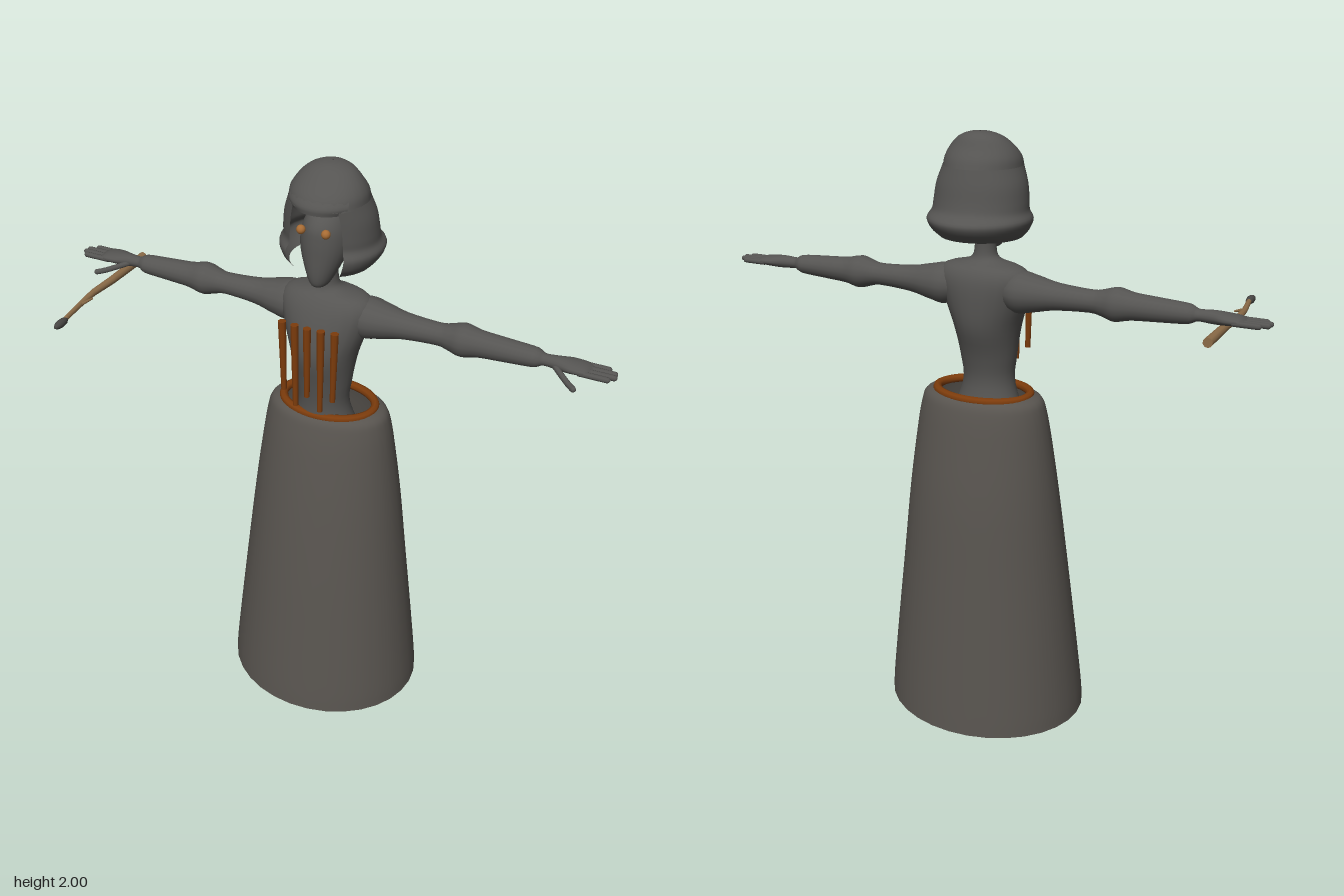
import * as THREE from 'three';

const mat = (name, color, side = THREE.FrontSide) =>
  Object.assign(new THREE.MeshStandardMaterial({ color, side }), { name });

// Smooth skin over elliptical rings [y, cx, cz, rx, rz]; an angle of 0 faces +z
function loft(rings, { n = 24, sub = 4, from = 0, to = Math.PI * 2 } = {}) {
  const full = to - from > 6.28;
  const cols = full ? n : n + 1;
  const mid = new THREE.CatmullRomCurve3(rings.map(r => new THREE.Vector3(r[1], r[0], r[2])), false, 'catmullrom', 0.5);
  const rad = new THREE.CatmullRomCurve3(rings.map(r => new THREE.Vector3(r[3], r[4], 0)), false, 'catmullrom', 0.5);
  const rows = (rings.length - 1) * sub;
  const pos = [], idx = [];
  for (let i = 0; i <= rows; i++) {
    const c = mid.getPoint(i / rows), r = rad.getPoint(i / rows);
    for (let j = 0; j < cols; j++) {
      const a = from + (to - from) * j / n;
      pos.push(c.x + Math.sin(a) * Math.max(r.x, 0), c.y, c.z + Math.cos(a) * Math.max(r.y, 0));
    }
  }
  for (let i = 0; i < rows; i++) for (let j = 0; j < n; j++) {
    const a = i * cols + j, b = i * cols + (j + 1) % cols, c = a + cols, d = b + cols;
    idx.push(a, b, c, b, d, c);
  }
  const g = new THREE.BufferGeometry();
  g.setAttribute('position', new THREE.Float32BufferAttribute(pos, 3));
  g.setIndex(idx);
  g.computeVertexNormals();
  return g;
}

export function createModel() {
  const model = new THREE.Group();
  model.name = 'figure';
  const body = mat('bodyGrey', 0x555452);
  const cloth = mat('clothGrey', 0x58544f, THREE.DoubleSide);
  const hair = mat('hairGrey', 0x555452, THREE.DoubleSide);
  const rust = mat('rustBrown', 0x7d3c0c);
  const wood = mat('wood', 0x8c6c48);
  const amber = mat('amber', 0xa86c34);
  const dark = mat('tipGrey', 0x484644);

  const add = (name, geo, material, parent = model) => {
    const m = new THREE.Mesh(geo, material);
    m.name = name;
    parent.add(m);
    return m;
  };
  // Tapered rod between two points
  const rod = (name, a, b, r0, r1, material, parent = model, sides = 10) => {
    const p = new THREE.Vector3(...a), q = new THREE.Vector3(...b);
    const m = add(name, new THREE.CylinderGeometry(r1, r0, p.distanceTo(q), sides), material, parent);
    m.position.copy(p).lerp(q, 0.5);
    m.quaternion.setFromUnitVectors(new THREE.Vector3(0, 1, 0), q.sub(p).normalize());
    return m;
  };

  // Long open skirt
  add('skirt', loft([
    [0.06, 0, -0.053, 0.34, 0.291], [0.14, 0, -0.054, 0.334, 0.283], [0.35, 0, -0.058, 0.311, 0.259],
    [0.6, 0, -0.063, 0.282, 0.23], [0.85, 0, -0.07, 0.253, 0.198], [1.05, 0, -0.073, 0.226, 0.163],
    [1.14, 0, -0.075, 0.21, 0.143], [1.175, 0, -0.075, 0.196, 0.13], [1.19, 0, -0.075, 0.168, 0.112],
  ], { n: 32 }), cloth);

  // Belt ring
  const ring = [];
  for (let i = 0; i < 24; i++) {
    const a = i / 24 * Math.PI * 2;
    ring.push(new THREE.Vector3(Math.sin(a) * 0.156, 1.187, -0.075 + Math.cos(a) * 0.108));
  }
  add('belt', new THREE.TubeGeometry(new THREE.CatmullRomCurve3(ring, true), 48, 0.014, 8, true), rust);

  // Torso and neck
  add('torso', loft([
    [0.9, 0, -0.055, 0.02, 0.02], [0.95, 0, -0.055, 0.13, 0.1], [1.05, 0, -0.05, 0.14, 0.105],
    [1.2, 0, -0.035, 0.087, 0.075], [1.3, 0, -0.035, 0.092, 0.085], [1.4, 0, -0.042, 0.108, 0.11],
    [1.48, 0, -0.052, 0.135, 0.107], [1.55, 0, -0.062, 0.155, 0.092], [1.59, 0, -0.065, 0.13, 0.07],
    [1.612, 0, -0.06, 0.05, 0.042], [1.65, 0, -0.058, 0.033, 0.035], [1.72, 0, -0.055, 0.035, 0.04],
  ]), body);

  // Head and eyes
  add('head', loft([
    [1.635, 0, -0.005, 0.004, 0.006], [1.645, 0, -0.008, 0.026, 0.036], [1.68, 0, -0.02, 0.046, 0.057],
    [1.74, 0, -0.04, 0.07, 0.077], [1.79, 0, -0.05, 0.075, 0.085], [1.83, 0, -0.055, 0.066, 0.083],
    [1.86, 0, -0.06, 0.045, 0.06], [1.875, 0, -0.065, 0.004, 0.006],
  ]), body);
  for (const s of [-1, 1])
    add('eye', new THREE.SphereGeometry(0.014, 12, 8), amber).position.set(s * 0.04, 1.828, 0.038);

  // Hair: full crown with a fringe peak, and a flared bob open at the face
  add('hairCrown', loft([
    [1.895, 0, -0.07, 0.122, 0.122], [1.925, 0, -0.071, 0.117, 0.108], [1.955, 0, -0.075, 0.099, 0.082],
    [1.982, 0, -0.084, 0.07, 0.056], [1.996, 0, -0.09, 0.035, 0.03], [2.0, 0, -0.092, 0.002, 0.002],
  ]), hair);
  add('hairBob', loft([
    [1.69, 0, -0.085, 0.128, 0.125], [1.715, 0, -0.09, 0.15, 0.15], [1.745, 0, -0.095, 0.162, 0.158],
    [1.77, 0, -0.09, 0.15, 0.136], [1.8, 0, -0.085, 0.147, 0.13], [1.85, 0, -0.08, 0.14, 0.125],
    [1.9, 0, -0.072, 0.122, 0.12],
  ], { n: 28, from: 0.62, to: Math.PI * 2 - 0.62 }), hair);
  add('fringe', loft([
    [1.884, 0, -0.06, 0.105, 0.112], [1.905, 0, -0.07, 0.121, 0.121], [1.935, 0, -0.073, 0.112, 0.1],
  ], { n: 12, from: -0.9, to: 0.9 }), hair);

  for (const s of [-1, 1]) {
    const side = s > 0 ? 'left' : 'right';

    // Arm along x; the first radius is vertical, the second runs front to back
    const arm = new THREE.Group();
    arm.name = side + 'Arm';
    model.add(arm);
    const sleeve = loft([
      [0.06, 0, 0, 0.03, 0.04], [0.12, 0, 0, 0.064, 0.07], [0.18, 0, 0, 0.056, 0.062], [0.25, 0, 0, 0.042, 0.044],
      [0.36, 0, 0, 0.035, 0.036], [0.4, 0, 0, 0.042, 0.042], [0.44, 0, 0, 0.052, 0.052], [0.49, 0, 0, 0.042, 0.042],
      [0.56, 0, 0, 0.037, 0.038], [0.65, 0, 0, 0.031, 0.034], [0.672, 0, 0, 0.026, 0.028], [0.69, 0, 0, 0.018, 0.02],
      [0.73, 0, 0, 0.02, 0.024], [0.77, 0, -0.002, 0.018, 0.037], [0.81, 0, -0.002, 0.013, 0.037], [0.83, 0, -0.002, 0.003, 0.026],
    ], { n: 16 });
    sleeve.rotateZ(-s * Math.PI / 2);
    add(side + 'Sleeve', sleeve, body, arm);
    arm.position.set(0, 1.523, -0.075);

    // Fingers and thumb
    [0.88, 0.902, 0.905, 0.89].forEach((tip, i) => {
      const z = -0.031 + i * 0.019;
      const len = tip - 0.79;
      const f = add('finger', new THREE.CapsuleGeometry(0.009, len - 0.018, 4, 8), body, arm);
      f.rotation.z = Math.PI / 2;
      f.position.set(s * (tip - len / 2), -0.003, z);
    });
    const thumb = new THREE.CatmullRomCurve3([
      new THREE.Vector3(s * 0.72, -0.004, 0.01), new THREE.Vector3(s * 0.755, -0.012, 0.045),
      new THREE.Vector3(s * 0.78, -0.018, 0.068), new THREE.Vector3(s * 0.802, -0.02, 0.088)]);
    add('thumb', new THREE.TubeGeometry(thumb, 8, 0.009, 8), body, arm);
    add('thumbTip', new THREE.SphereGeometry(0.009, 8, 6), body, arm).position.copy(thumb.getPoint(1));

    // Leg and foot
    add(side + 'Leg', loft([
      [0.03, s * 0.13, -0.07, 0.028, 0.032], [0.1, s * 0.128, -0.07, 0.027, 0.03], [0.28, s * 0.12, -0.075, 0.045, 0.05],
      [0.42, s * 0.11, -0.065, 0.047, 0.052], [0.52, s * 0.1, -0.055, 0.043, 0.046], [0.75, s * 0.085, -0.05, 0.062, 0.068],
      [1.0, s * 0.07, -0.05, 0.068, 0.08],
    ], { n: 16 }), body);
    const foot = loft([
      [-0.11, 0, -0.03, 0.004, 0.004], [-0.1, 0, -0.03, 0.03, 0.027], [-0.06, 0, -0.034, 0.036, 0.034],
      [0, 0, -0.028, 0.041, 0.028], [0.06, 0, -0.02, 0.05, 0.02], [0.105, 0, -0.014, 0.044, 0.014],
      [0.13, 0, -0.01, 0.008, 0.005],
    ], { n: 16 });
    foot.rotateX(Math.PI / 2);
    add(side + 'Foot', foot, body).position.x = s * 0.13;
  }

  // Hanging bodice ribs, in a shallow curve before the chest
  for (let i = -2; i <= 2; i++) {
    const x = i * 0.044 + 0.003, z = 0.092 - Math.abs(i) * 0.004;
    rod('bodiceRib', [x * 0.95, i % 2 ? 1.25 : 1.295, z], [x, 1.535, z - 0.003], 0.009, 0.013, rust, model, 8);
  }

  // Crooked wand in the right hand
  const wand = new THREE.Group();
  wand.name = 'wand';
  model.add(wand);
  const path = [[-0.752, 1.48, -0.185], [-0.752, 1.48, 0], [-0.76, 1.479, 0.1], [-0.755, 1.478, 0.18], [-0.742, 1.48, 0.275], [-0.738, 1.477, 0.325]];
  const radii = [0.015, 0.013, 0.011, 0.009, 0.008];
  for (let i = 0; i < 4; i++) {
    rod('wandShaft', path[i], path[i + 1], radii[i], radii[i + 1], wood, wand);
    add('wandKnot', new THREE.SphereGeometry(radii[i + 1], 10, 6), wood, wand).position.set(...path[i + 1]);
  }
  rod('wandTwig', [-0.754, 1.478, 0.19], [-0.735, 1.484, 0.14], 0.006, 0.003, wood, wand, 6);
  const tip = add('wandTip', new THREE.SphereGeometry(0.013, 10, 8), dark, wand);
  tip.scale.z = 2.6;
  tip.position.set(-0.739, 1.478, 0.307);

  return model;
}
